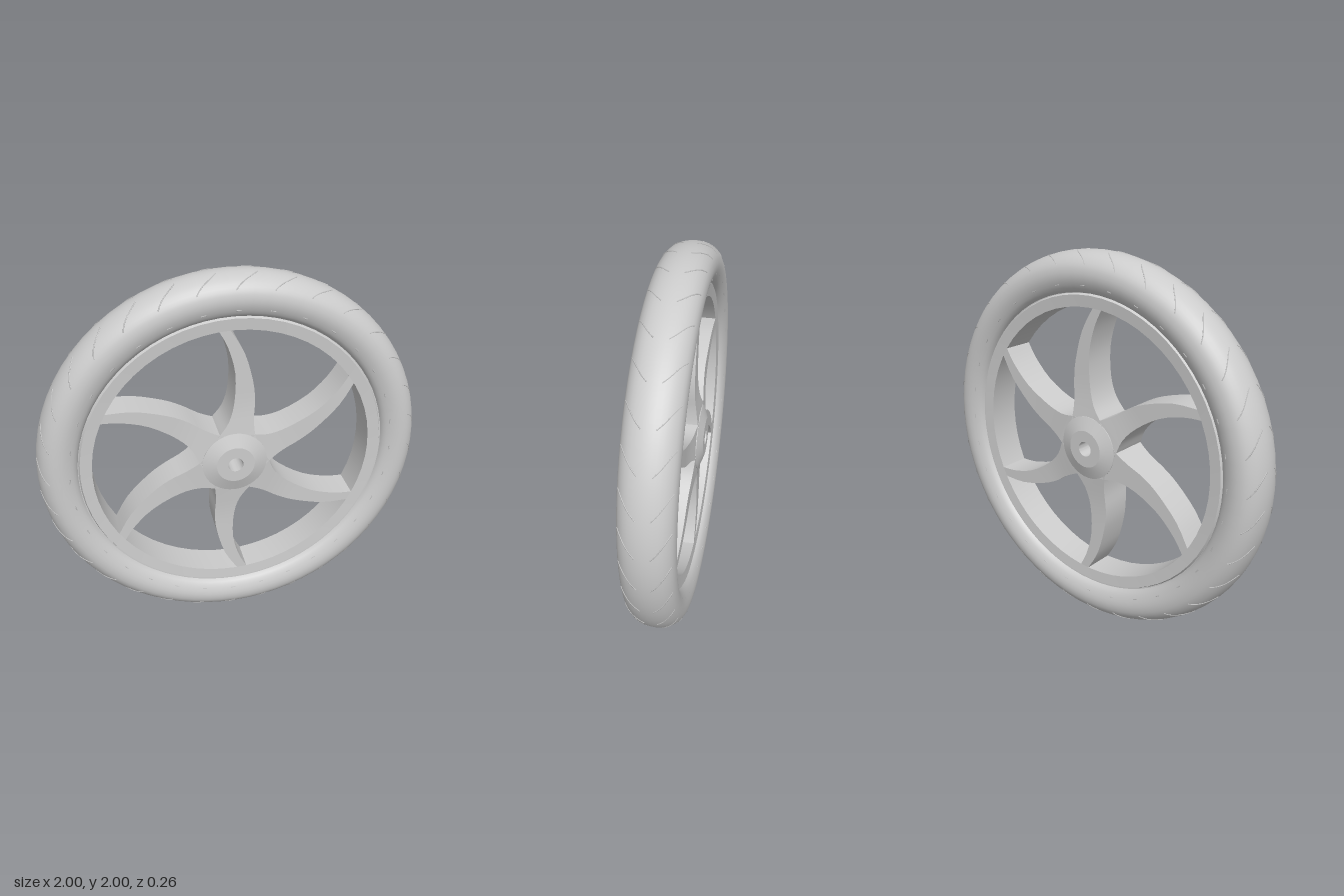
import * as THREE from 'three';
import { mergeGeometries, toCreasedNormals } from 'three/addons/utils/BufferGeometryUtils.js';

const grey = new THREE.MeshStandardMaterial({ color: 0xcccccc });
const vec = (pts) => pts.map(([a, b]) => new THREE.Vector2(a, b));

function part(name, geometry) {
  const mesh = new THREE.Mesh(geometry, grey);
  mesh.name = name;
  return mesh;
}

// Revolve a [radius, z] profile around the axle (z axis)
const revolve = (points, segments) => new THREE.LatheGeometry(points, segments).rotateX(Math.PI / 2);

// Half thickness of the spokes: swells towards the hub
const halfDepth = (r) => 0.085 + 0.02 * (Math.max(0, 0.4 - r) / 0.23) ** 2;

// Curved blade between two edge curves, running from hub to rim
function spokeGeometry() {
  const left = new THREE.SplineCurve(vec([[-0.1, 0.13], [-0.08, 0.165], [-0.03, 0.235], [0, 0.34], [0.005, 0.5], [-0.03, 0.64], [-0.08, 0.74]]));
  const right = new THREE.SplineCurve(vec([[0.115, 0.12], [0.105, 0.16], [0.1, 0.24], [0.106, 0.34], [0.095, 0.45], [0.05, 0.61], [-0.025, 0.74]]));
  const steps = 18, pos = [], index = [];
  for (let i = 0; i <= steps; i++) {
    const l = left.getPoint(i / steps), r = right.getPoint(i / steps);
    const dl = halfDepth(l.length()), dr = halfDepth(r.length());
    pos.push(l.x, l.y, dl, r.x, r.y, dr, r.x, r.y, -dr, l.x, l.y, -dl);
    if (i === steps) break;
    for (let k = 0; k < 4; k++) {
      const a = i * 4 + k, b = i * 4 + (k + 1) % 4;
      index.push(a, b, b + 4, a, b + 4, a + 4);
    }
  }
  const g = new THREE.BufferGeometry();
  g.setAttribute('position', new THREE.Float32BufferAttribute(pos, 3));
  g.setIndex(index);
  return toCreasedNormals(g, 0.6);
}

export function createModel() {
  const wheel = new THREE.Group();
  wheel.name = 'wheel';
  const body = new THREE.Group();
  body.name = 'wheelBody';
  body.position.y = 1;
  wheel.add(body);

  // Tyre: rounded section, mirrored about the crown
  const half = [[0.8, 0.085], [0.812, 0.104], [0.84, 0.121], [0.88, 0.132], [0.92, 0.128], [0.95, 0.113], [0.977, 0.085], [0.994, 0.045]];
  const section = new THREE.SplineCurve(vec([...half.map(([r, z]) => [r, -z]), [1, 0], ...half.slice().reverse()]));
  body.add(part('tyre', revolve(section.getPoints(32), 72)));

  // Tread lines: a slanted wavy line on each shoulder and a short dash on each sidewall
  const onTyre = (t, angle) => {
    const p = section.getPoint(t);
    return new THREE.Vector3(p.x * Math.cos(angle), p.x * Math.sin(angle), p.y);
  };
  const line = (pts, angle, mirror, steps) => new THREE.TubeGeometry(
    new THREE.CatmullRomCurve3(pts.map(([t, a]) => onTyre(mirror ? 1 - t : t, angle + a))), steps, 0.003, 4);
  const shoulder = [[0.71, 0], [0.67, -0.02], [0.63, -0.05], [0.585, -0.09], [0.545, -0.12]];
  const dash = [[0.87, 0], [0.87, -0.03]];
  const count = 32, lines = [];
  for (let i = 0; i < count; i++) {
    for (const mirror of [false, true]) {
      const angle = (i / count) * Math.PI * 2;
      lines.push(line(shoulder, angle, mirror, 10), line(dash, angle, mirror, 2));
    }
  }
  body.add(part('treadLines', mergeGeometries(lines)));

  // Rim: deep ring with a narrow step beside the tyre
  const rim = vec([[0.83, -0.075], [0.83, 0.075], [0.797, 0.075], [0.79, 0.09], [0.73, 0.085],
    [0.73, -0.085], [0.79, -0.09], [0.797, -0.075], [0.83, -0.075]]);
  body.add(part('rim', toCreasedNormals(revolve(rim, 60), 0.4)));

  // Hub: bored boss with conical shoulders
  const hub = vec([[0.04, -0.13], [0.1, -0.13], [0.17, -0.105], [0.17, 0.105], [0.1, 0.13], [0.04, 0.13], [0.04, -0.13]]);
  body.add(part('hub', toCreasedNormals(revolve(hub, 36), 0.3)));

  // Six swept spokes
  const spoke = spokeGeometry();
  for (let i = 0; i < 6; i++) {
    const blade = part('spoke' + (i + 1), spoke);
    blade.rotation.z = (i * Math.PI) / 3;
    body.add(blade);
  }
  return wheel;
}
